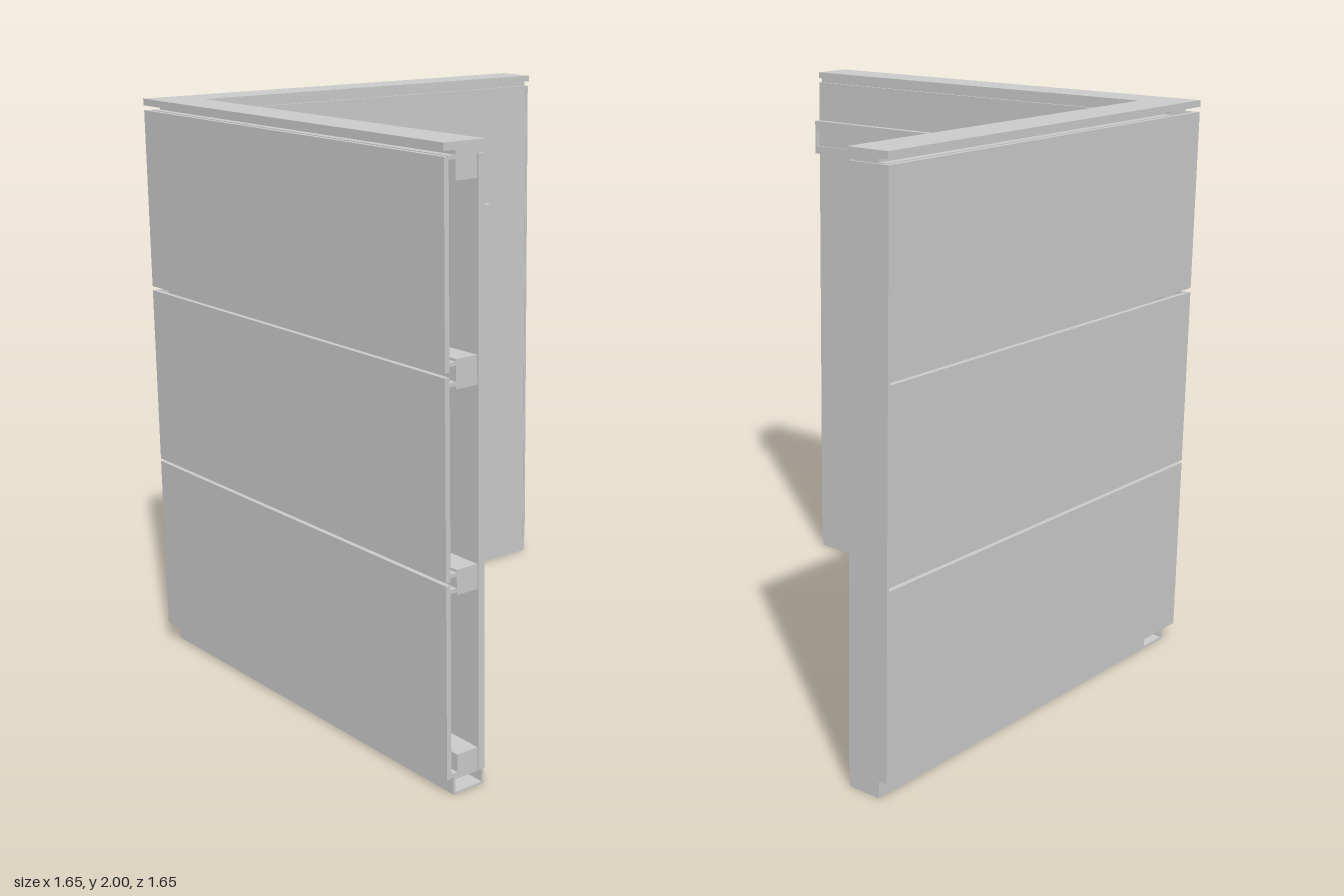
import * as THREE from 'three';

const grey = new THREE.MeshStandardMaterial({ color: 0xcccccc, flatShading: true });

// Box given by depth (outer face = 0, inner face = 0.15), height and run along the wing.
// The side wing runs along z, the back wing along x.
function bar(group, alongX, name, [d0, d1], [y0, y1], [l0, l1]) {
  const d = d1 - d0, h = y1 - y0, l = l1 - l0;
  const mesh = new THREE.Mesh(new THREE.BoxGeometry(alongX ? l : d, h, alongX ? d : l), grey);
  const dm = -0.825 + (d0 + d1) / 2, lm = (l0 + l1) / 2;
  mesh.position.set(alongX ? lm : dm, (y0 + y1) / 2, alongX ? dm : lm);
  mesh.name = name;
  group.add(mesh);
  return mesh;
}

function createWing(alongX) {
  const wing = new THREE.Group();
  wing.name = alongX ? 'backWing' : 'sideWing';
  const add = (...args) => bar(wing, alongX, ...args);
  const outerStart = alongX ? -0.808 : -0.825;
  const innerStart = alongX ? -0.675 : -0.67;
  const coreStart = alongX ? -0.675 : -0.795;
  const end = 0.82;
  const coreEnd = alongX ? 0.812 : 0.815;

  // Three outer cladding panels separated by shadow gaps
  for (const y of [[0.06, 0.69], [0.70, 1.325], [1.34, 1.96]]) {
    add('outerPanel', [0, 0.017], y, [outerStart, alongX ? 0.81 : end]);
  }

  // Continuous inner panel
  add('innerPanel', [0.125, 0.15], [0.055, 1.96], [innerStart, alongX ? 0.81 : end]);

  // Horizontal frame rails behind the gaps, with clip lips towards the cladding
  for (const [y0, y1, lips] of [
    [0.06, 0.13, [0.06]], [0.65, 0.73, [0.66, 0.71]],
    [1.285, 1.375, [1.295, 1.355]], [1.89, 1.962, [1.95]],
  ]) {
    add('frameRail', [0.045, 0.125], [y0, y1], [coreStart, coreEnd]);
    for (const y of lips) add('railLip', [0.017, 0.045], [y, y + 0.012], [coreStart, coreEnd]);
  }

  // Hollow plinth, set back from the outer face
  add('plinthBase', [0.03, 0.15], [0, 0.008], [coreStart, coreEnd]);
  add('plinthTop', [0.03, 0.15], [0.05, 0.06], [coreStart, coreEnd]);
  add('plinthOuterWall', [0.03, 0.038], [0.008, 0.05], [coreStart, coreEnd]);
  add('plinthInnerWall', [0.142, 0.15], [0.008, 0.05], [innerStart, coreEnd]);

  // Capping on a recessed neck
  add('capNeck', [0.045, 0.14], [1.96, 1.977], [coreStart, coreEnd]);
  add('topCap', [-0.001, 0.152], [1.977, 2], [alongX ? -0.673 : -0.826, alongX ? 0.825 : end]);
  return wing;
}

export function createModel() {
  const model = new THREE.Group();
  model.name = 'cornerPartition';
  const side = createWing(false), back = createWing(true);
  model.add(side, back);

  // Closed end of the back wing
  bar(back, true, 'endPanel', [0, 0.152], [0.06, 1.96], [0.81, 0.82]);
  bar(back, true, 'plinthEnd', [0.03, 0.15], [0, 0.06], [0.812, 0.818]);

  // Accessory channel on the inner face of the side wing
  const channel = new THREE.Group();
  channel.name = 'accessoryChannel';
  const run = [-0.665, 0.82];
  bar(channel, false, 'channelBack', [0.15, 0.156], [1.68, 1.81], run);
  for (const [y0, y1] of [[1.68, 1.688], [1.802, 1.81]]) {
    bar(channel, false, 'channelFlange', [0.156, 0.176], [y0, y1], run);
  }
  for (const [y0, y1] of [[1.688, 1.71], [1.778, 1.802]]) {
    bar(channel, false, 'channelLip', [0.169, 0.176], [y0, y1], run);
  }
  for (const l of [run[0], run[1] - 0.005]) {
    bar(channel, false, 'channelEnd', [0.156, 0.175], [1.688, 1.802], [l, l + 0.005]);
  }
  side.add(channel);
  return model;
}
